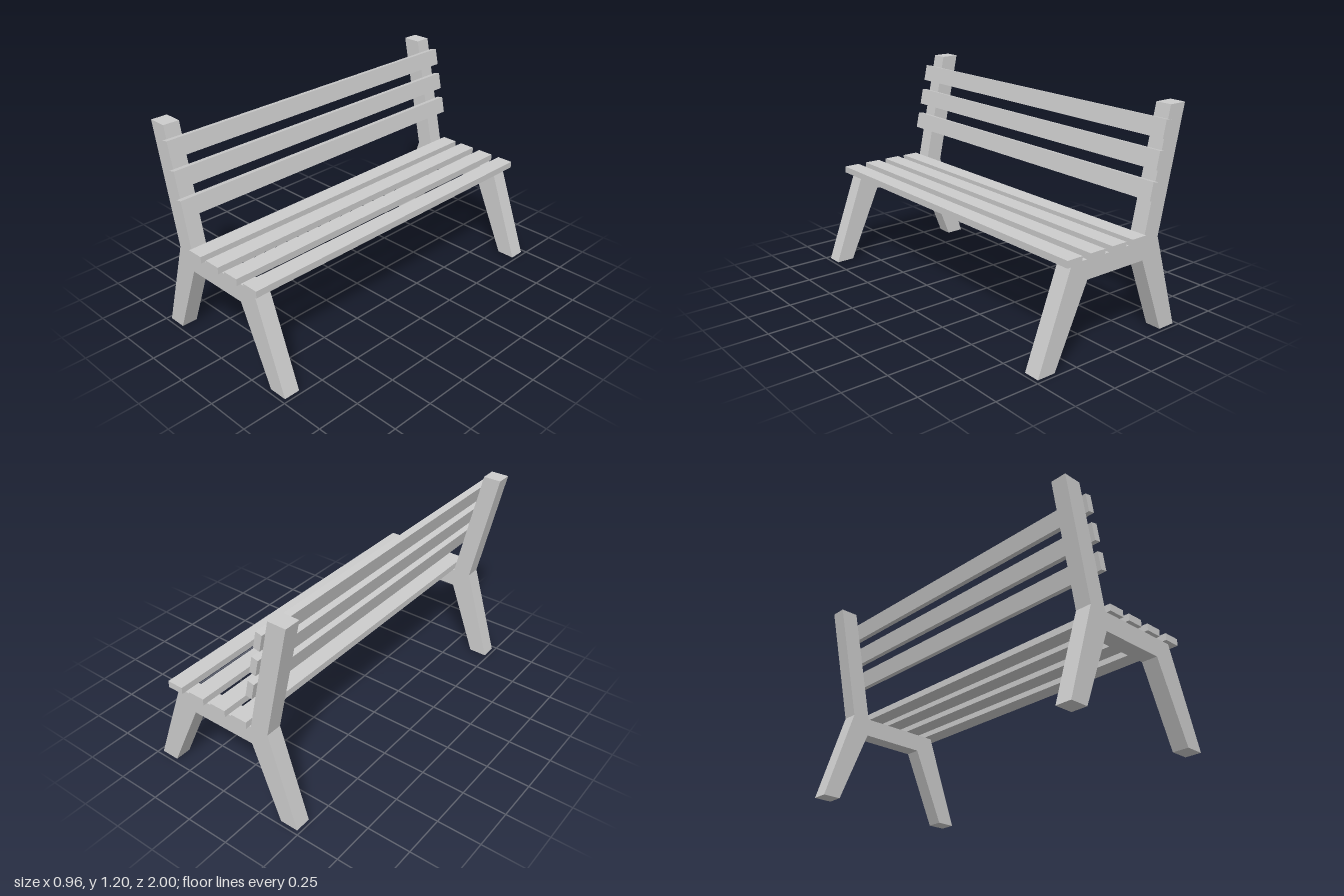
import * as THREE from 'three';

export function createModel() {
  const bench = new THREE.Group();
  bench.name = 'bench';
  const material = new THREE.MeshStandardMaterial({ color: 0xcccccc, flatShading: true });

  // End frames: back post, legs and seat rail cut from one profile
  const profile = [
    [-0.48, 0], [-0.375, 0], [-0.21, 0.427], [0.175, 0.427], [0.372, 0], [0.478, 0],
    [0.28, 0.532], [-0.21, 0.532], [-0.354, 1.2], [-0.458, 1.2], [-0.315, 0.532],
  ];
  const shape = new THREE.Shape(profile.map(([x, y]) => new THREE.Vector2(x, y)));
  const depth = 0.092;
  const frameGeometry = new THREE.ExtrudeGeometry(shape, { depth, bevelEnabled: false });
  frameGeometry.translate(0, 0, -depth / 2);
  for (const side of [-1, 1]) {
    const frame = new THREE.Mesh(frameGeometry, material);
    frame.name = side > 0 ? 'frontEndFrame' : 'rearEndFrame';
    frame.position.z = side * 0.931;
    bench.add(frame);
  }

  // Slats run the full length along z
  const slatGeometry = new THREE.BoxGeometry(0.096, 0.038, 2);
  const addSlat = (name, x, y, angle = 0) => {
    const slat = new THREE.Mesh(slatGeometry, material);
    slat.name = name;
    slat.position.set(x, y, 0);
    slat.rotation.z = angle;
    bench.add(slat);
  };

  // Seat slats lie flat on the rails
  [-0.153, -0.013, 0.133, 0.282].forEach((x, i) => addSlat(`seatSlat${i + 1}`, x, 0.55));

  // Back slats lean with the posts
  const lean = Math.atan2(0.144, 0.668);
  for (let i = 0; i < 3; i++) {
    addSlat(`backSlat${i + 1}`, -0.242 - i * 0.0343, 0.785 + i * 0.151, lean + Math.PI / 2);
  }
  return bench;
}
